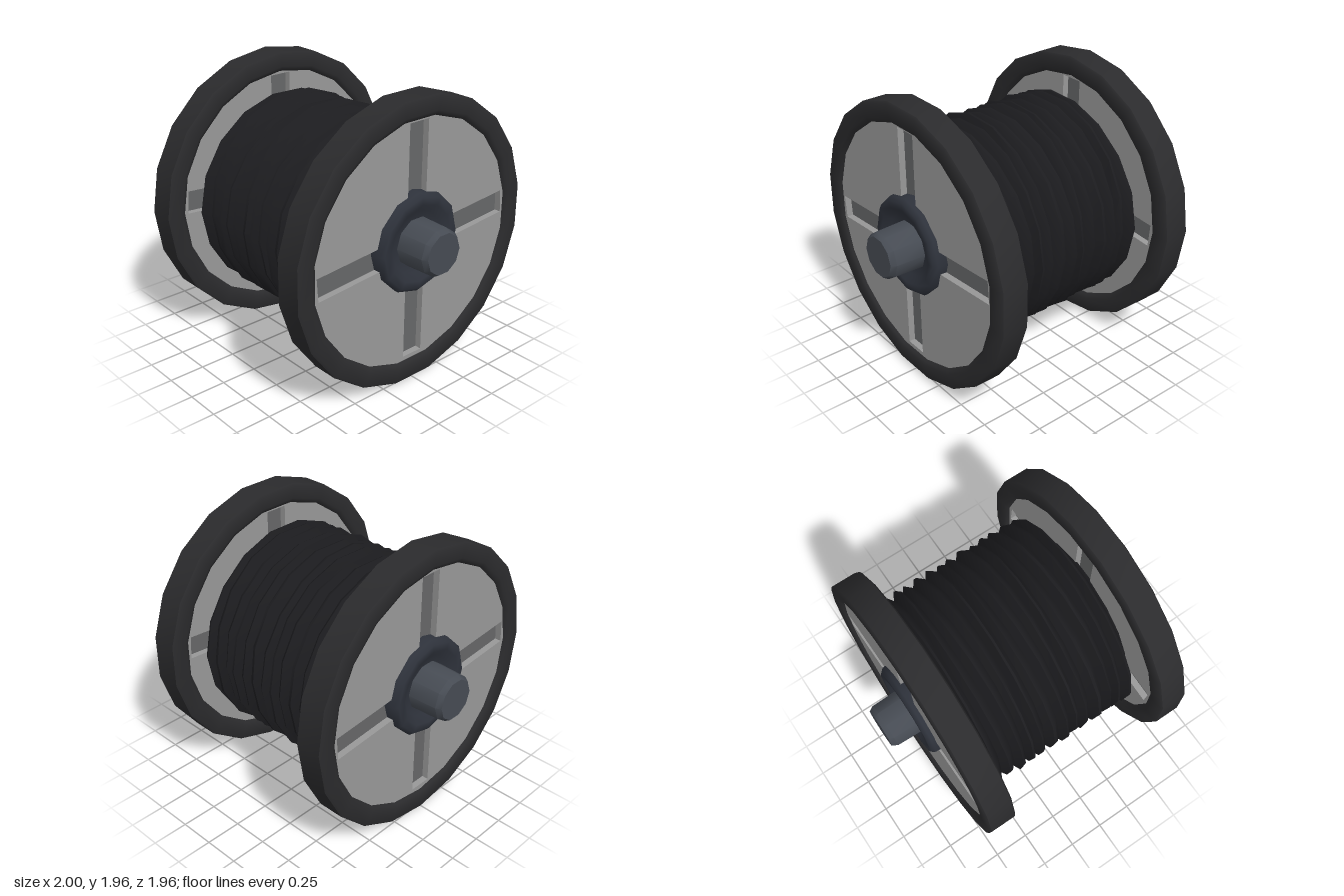
import * as THREE from 'three';
import { toCreasedNormals } from 'three/addons/utils/BufferGeometryUtils.js';

const CENTRE_Y = 0.98;
const RIM_SIDES = 20;

function createMesh(name, geometry, color) {
  const mesh = new THREE.Mesh(geometry, new THREE.MeshStandardMaterial({ color }));
  mesh.name = name;
  return mesh;
}

// Turned shape around the x axis, from [radius, x] pairs
function turned(profile, sides) {
  const points = profile.map(([r, x]) => new THREE.Vector2(r, x));
  return new THREE.LatheGeometry(points, sides).rotateZ(-Math.PI / 2);
}

const creased = (geometry, angle = 0.7) => toCreasedNormals(geometry, angle);

// Round plate with four radial slots, the horizontal pair a little askew
function slottedPlate(x, thickness) {
  const shape = new THREE.Shape().absarc(0, 0, 0.87, 0, Math.PI * 2);
  [0.075, Math.PI / 2, Math.PI + 0.075, Math.PI * 1.5].forEach((angle) => {
    const corners = [[0.26, -0.08], [0.26, 0.08], [0.81, 0.08], [0.81, -0.08]];
    const slot = corners.map(([u, v]) =>
      new THREE.Vector2(u, v).rotateAround(new THREE.Vector2(), angle));
    shape.holes.push(new THREE.Path(slot));
  });
  const geometry = new THREE.ExtrudeGeometry(shape, {
    depth: thickness, bevelEnabled: false, curveSegments: RIM_SIDES / 2,
  });
  return geometry.rotateY(Math.PI / 2).translate(x, 0.01, 0);
}

// One end wheel, facing +x
function createFlange(rimTurn) {
  const flange = new THREE.Group();

  const rim = [
    [0.83, 0.62], [0.85, 0.59], [0.875, 0.58], [0.965, 0.58], [0.98, 0.59], [0.98, 0.77],
    [0.965, 0.78], [0.875, 0.78], [0.85, 0.77], [0.83, 0.74], [0.83, 0.62],
  ];
  const rimMesh = createMesh('rim', creased(turned(rim, RIM_SIDES)), 0x2b2b2d);
  rimMesh.rotation.x = rimTurn;
  flange.add(rimMesh);

  // Slotted faces over a darker core that forms the slot floors
  flange.add(createMesh('outerFace', slottedPlate(0.705, 0.05), 0x989898));
  flange.add(createMesh('innerFace', slottedPlate(0.605, 0.05), 0x989898));
  const core = [[0, 0.65], [0.85, 0.65], [0.85, 0.71], [0, 0.71]];
  flange.add(createMesh('slotFloor', creased(turned(core, RIM_SIDES)), 0x666768));

  // Collar dished around the axle
  const hub = [
    [0.345, 0.7], [0.34, 0.78], [0.315, 0.805], [0.265, 0.805], [0.215, 0.765], [0.13, 0.755],
  ];
  const hubMesh = createMesh('hub', creased(turned(hub, 12), 0.9), 0x2e323b);
  hubMesh.position.y = 0.02;
  flange.add(hubMesh);

  const axle = [[0.17, 0.7], [0.162, 0.965], [0.14, 1], [0, 1]];
  const axleMesh = createMesh('axleEnd', creased(turned(axle, 10), 0.75), 0x464b53);
  axleMesh.position.y = 0.02;
  flange.add(axleMesh);
  return flange;
}

// Wound cable: sharp ridges and valleys with a slight unevenness
function createCable() {
  const turns = 13;
  const half = 0.57;
  const pitch = (2 * half) / turns;
  const profile = [[0.54, -0.62], [0.57, -0.585]];
  for (let i = 0; i < turns; i++) {
    const x = -half + i * pitch;
    profile.push([i === 0 ? 0.62 : 0.672, x]);
    profile.push([0.735, x + pitch * 0.4]);
    profile.push([0.73, x + pitch * 0.6]);
  }
  profile.push([0.62, half], [0.57, 0.585], [0.54, 0.62]);

  const geometry = turned(profile, 18);
  const position = geometry.attributes.position;
  for (let i = 0; i < position.count; i++) {
    const x = position.getX(i);
    const y = position.getY(i);
    const z = position.getZ(i);
    const angle = Math.atan2(z, y);
    // Periodic waves keep the seam closed
    const wave = Math.sin(3 * Math.sin(angle) + x * 37) + Math.cos(4 * Math.cos(angle) - x * 23);
    const grow = 1 + 0.009 * wave;
    const shift = Math.abs(x) < 0.56 ? 0.009 * Math.sin(2 * Math.sin(angle) + x * 19) : 0;
    position.setXYZ(i, x + shift, y * grow, z * grow);
  }
  return createMesh('cable', creased(geometry, 0.9), 0x1c1c1f);
}

export function createModel() {
  const model = new THREE.Group();
  model.name = 'cableReel';

  const spool = new THREE.Group();
  spool.name = 'spool';
  spool.position.y = CENTRE_Y;
  spool.add(createCable());

  // Rims are half a side out of step with each other
  ['leftFlange', 'rightFlange'].forEach((name, i) => {
    const flange = createFlange(i === 0 ? Math.PI / RIM_SIDES : 0);
    flange.name = name;
    flange.rotation.y = i * Math.PI;
    spool.add(flange);
  });

  model.add(spool);
  return model;
}
